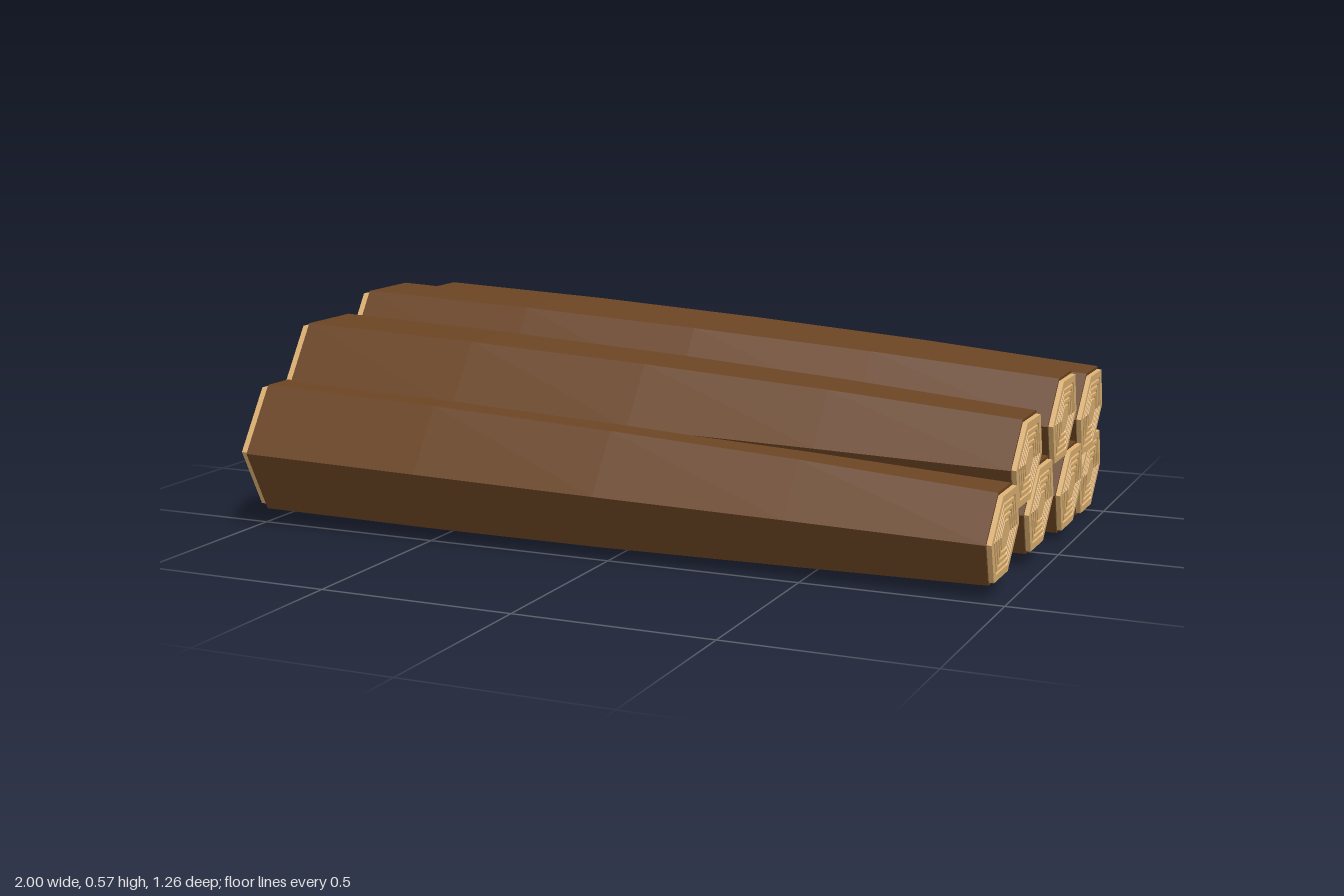
import * as THREE from 'three';

const bark = new THREE.MeshStandardMaterial({ color: 0x6b4423, flatShading: true });
const wood = new THREE.MeshStandardMaterial({ color: 0xdeb272, flatShading: true });

// Shared log shape, thick end to thin end: radius and centre drift at five stations
const RADIUS = [0.19, 0.183, 0.17, 0.151, 0.127];
const DROP = [0.066, 0.05, 0.033, 0.016, 0];
const DRIFT = [0.031, 0.017, -0.001 + 0.006, -0.006, 0];
const TILT = [0.05, 0.08];

// Tapered, slightly bent six-sided trunk lying along x
function trunkGeometry(x0, x1) {
  const g = new THREE.CylinderGeometry(1, 1, 4, 6, 4);
  g.rotateZ(-Math.PI / 2);
  const p = g.attributes.position;
  for (let i = 0; i < p.count; i++) {
    const s = Math.round(p.getX(i) + 2);
    const y = p.getY(i) * RADIUS[s];
    const z = p.getZ(i) * RADIUS[s];
    const tilt = THREE.MathUtils.lerp(TILT[0], TILT[1], s / 4);
    p.setXYZ(i, THREE.MathUtils.lerp(x0, x1, s / 4) + tilt * y, y + DROP[s], z + DRIFT[s]);
  }
  g.computeVertexNormals();
  return g;
}

// Cut face with shallow hexagonal growth-ring grooves
function cutGeometry(height) {
  const pts = [new THREE.Vector2(0.94, -0.01), new THREE.Vector2(0.94, height)];
  for (const r of [0.75, 0.61, 0.47, 0.33]) {
    pts.push(
      new THREE.Vector2(r + 0.03, height),
      new THREE.Vector2(r + 0.02, height - 0.004),
      new THREE.Vector2(r - 0.02, height - 0.004),
      new THREE.Vector2(r - 0.03, height));
  }
  pts.push(new THREE.Vector2(0, height));
  return new THREE.LatheGeometry(pts, 6);
}

function makeLog(name, y, z, x0, x1) {
  const log = new THREE.Group();
  log.name = name;
  const trunk = new THREE.Mesh(trunkGeometry(x0, x1), bark);
  trunk.name = 'bark';
  log.add(trunk);

  const thick = new THREE.Mesh(cutGeometry(0.022), wood);
  thick.name = 'thickCutEnd';
  thick.scale.set(RADIUS[0], 1, RADIUS[0]);
  thick.rotation.z = Math.PI / 2 - TILT[0];
  thick.position.set(x0, DROP[0], DRIFT[0]);

  const thin = new THREE.Mesh(cutGeometry(0.012), wood);
  thin.name = 'thinCutEnd';
  thin.scale.set(RADIUS[4], 1, RADIUS[4]);
  thin.rotation.z = -Math.PI / 2 - TILT[1];
  thin.position.set(x1, DROP[4], DRIFT[4]);

  log.add(thick, thin);
  log.position.set(0, y, z);
  return log;
}

export function createModel() {
  const pile = new THREE.Group();
  pile.name = 'logPile';
  // Height and depth of each log's thin end, and where it starts and ends
  const lower = [
    [0.145, 0.405, -0.965, 0.96],
    [0.146, 0.095, -0.97, 0.965],
    [0.132, -0.195, -0.97, 0.97],
    [0.115, -0.467, -0.97, 0.955],
  ];
  const upper = [
    [0.286, 0.245, -0.94, 0.97],
    [0.335, -0.055, -0.94, 0.98],
    [0.304, -0.327, -0.94, 0.985],
  ];
  lower.forEach((l, i) => pile.add(makeLog('lowerLog' + (i + 1), ...l)));
  upper.forEach((l, i) => pile.add(makeLog('upperLog' + (i + 1), ...l)));
  return pile;
}
